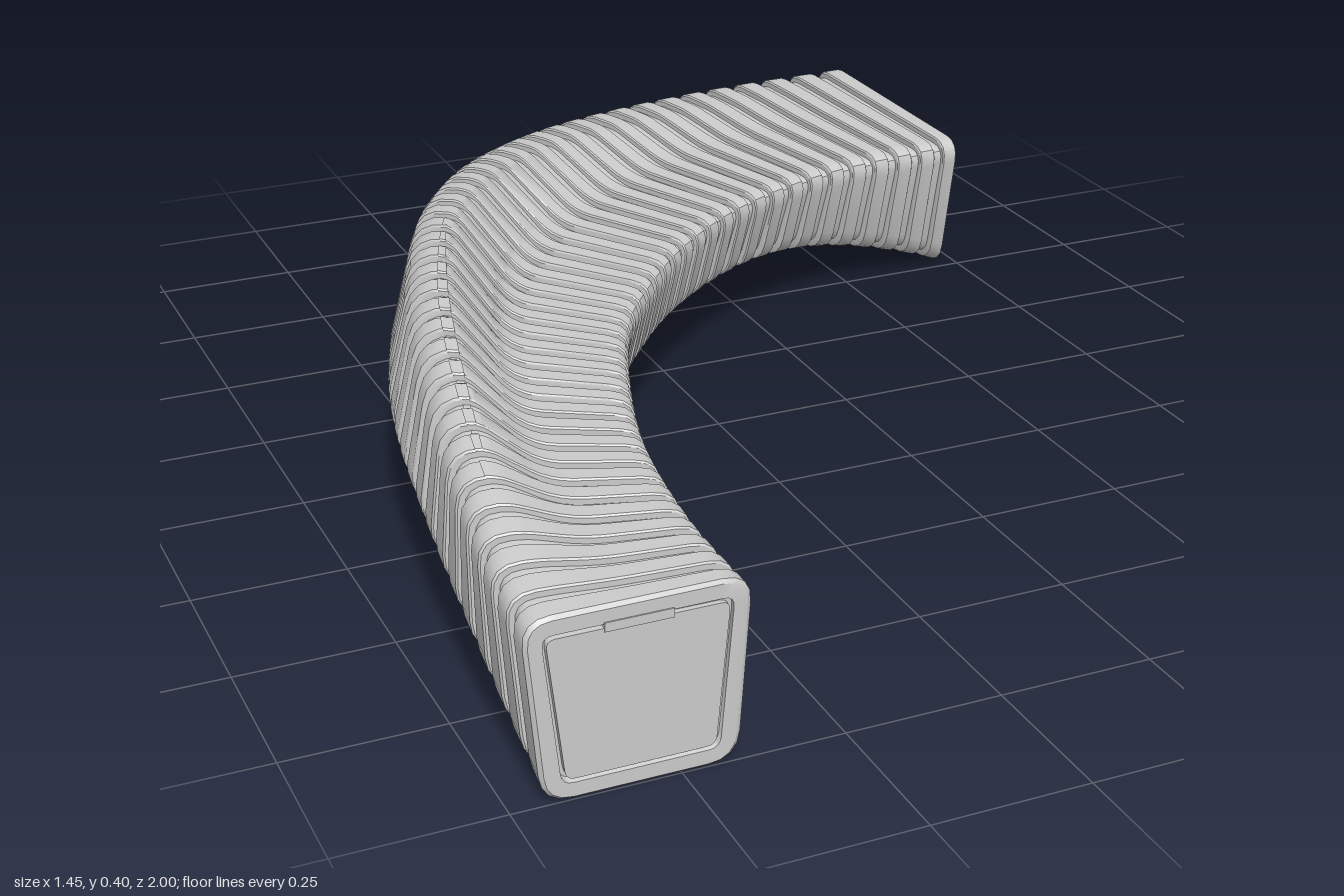
import * as THREE from 'three';
import { toCreasedNormals } from 'three/addons/utils/BufferGeometryUtils.js';

const RIBS = 39, GROOVE = 0.012, STEPS = 4;

// plan curves of the inside and outside edges, as [x, z]
const edge = pts => {
  const c = new THREE.CatmullRomCurve3(pts.map(([x, z]) => new THREE.Vector3(x, 0, z)), false, 'centripetal');
  c.arcLengthDivisions = 600;
  return c;
};
const inner = edge([[-0.393, 1], [-0.388, 0.8], [-0.353, 0.55], [-0.293, 0.34], [-0.203, 0.12], [-0.095, -0.035],
  [0.025, -0.172], [0.2, -0.31], [0.42, -0.408], [0.72, -0.455]]);
const outer = edge([[-0.727, 1], [-0.722, 0.8], [-0.697, 0.5], [-0.642, 0.17], [-0.577, -0.06], [-0.467, -0.325],
  [-0.305, -0.557], [-0.105, -0.737], [0.1, -0.857], [0.3, -0.937], [0.5, -0.985], [0.72, -1.005]]);

// rounded cross-section at t along the duct, shrunk by inset
function section(t, inset) {
  const a = inner.getPointAt(t), b = outer.getPointAt(t);
  const w = a.distanceTo(b), across = b.clone().sub(a).divideScalar(w);
  const d = Math.min(1, Math.min(t, 1 - t) / 0.26);
  const low = 0.117 * (1 - (1 - d) ** 2) + inset;
  const seat = 0.287 - 0.008 * t - inset;
  const bank = Math.sin(Math.PI * t ** 0.78) ** 2;
  const crest = seat + 0.118 * bank;
  const lo = inset, hi = w - inset, span = hi - lo;
  const r = Math.max(0.045 - inset, 0.014);
  // the outer wall leans inward and its foot lifts where the duct is banked
  const corners = [
    [lo + 0.022 + 0.035 * t, low, r], [lo, seat, r],
    [lo + span * (0.52 - 0.03 * bank), seat, 0.035], [lo + span * (0.79 - 0.06 * bank), crest, 0.018],
    [hi - 0.055 * bank, crest, r + 0.015 * bank], [hi - 0.024 + 0.032 * bank, low + 0.055 * bank, r],
  ].map(([s, y, rad]) => ({ p: new THREE.Vector2(s, y), rad }));
  const ring = [];
  corners.forEach(({ p, rad }, i) => {
    const toward = q => q.clone().sub(p).setLength(rad).add(p);
    const prev = corners[(i + 5) % 6].p, next = corners[(i + 1) % 6].p;
    const bend = new THREE.QuadraticBezierCurve(toward(prev), p, toward(next));
    for (const q of bend.getPoints(STEPS)) {
      ring.push(a.clone().addScaledVector(across, q.x).setY(q.y));
    }
  });
  return ring;
}

// skin over a list of rings, closed with a fan at both ends
function loft(rings) {
  const n = rings[0].length, pos = [], index = [];
  rings.forEach(ring => ring.forEach(p => pos.push(p.x, p.y, p.z)));
  for (let i = 0; i < rings.length - 1; i++) {
    for (let j = 0; j < n; j++) {
      const k = (j + 1) % n, a = i * n + j, b = i * n + k;
      index.push(a, a + n, b, b, a + n, b + n);
    }
  }
  const last = (rings.length - 1) * n;
  [0, last].forEach(start => {
    const mid = rings[start / n].reduce((s, p) => s.add(p), new THREE.Vector3()).divideScalar(n);
    const c = pos.length / 3;
    pos.push(mid.x, mid.y, mid.z);
    for (let j = 0; j < n; j++) {
      const u = start + j, v = start + (j + 1) % n;
      index.push(c, ...(start === 0 ? [u, v] : [v, u]));
    }
  });
  const g = new THREE.BufferGeometry();
  g.setAttribute('position', new THREE.Float32BufferAttribute(pos, 3));
  g.setIndex(index);
  return toCreasedNormals(g, 0.6);
}

export function createModel() {
  const model = new THREE.Group();
  model.name = 'bankedBellowsDuct';
  const material = new THREE.MeshStandardMaterial({ color: 0xcccccc });

  // end face: panel framed by a narrow recessed groove, as [t, inset]
  const cap = [[0, 0.034], [0.004, 0.034], [0.004, 0.028], [0, 0.028], [0, 0.006], [0.002, 0]];
  const stations = [...cap];
  // raised ribs with narrower grooves between them
  const pitch = 1 / (RIBS - 0.38);
  for (let i = 0; i < RIBS - 1; i++) {
    const end = (i + 0.62) * pitch, next = (i + 1) * pitch;
    stations.push([end - 0.001, 0], [end, 0.003], [end, GROOVE], [next, GROOVE], [next, 0.003], [next + 0.001, 0]);
  }
  stations.push(...cap.map(([t, inset]) => [1 - t, inset]).reverse());

  const body = new THREE.Mesh(loft(stations.map(([t, inset]) => section(t, inset))), material);
  body.name = 'ribbedBody';
  model.add(body);

  // small latch at the top of each end panel
  const latch = (name, x, z, turn) => {
    const m = new THREE.Mesh(new THREE.BoxGeometry(0.1, 0.014, 0.012), material);
    m.name = name;
    m.position.set(x, 0.255, z);
    m.rotation.y = turn;
    model.add(m);
  };
  latch('frontLatch', -0.56, 0.996, 0);
  latch('sideLatch', 0.716, -0.73, Math.PI / 2);
  return model;
}
